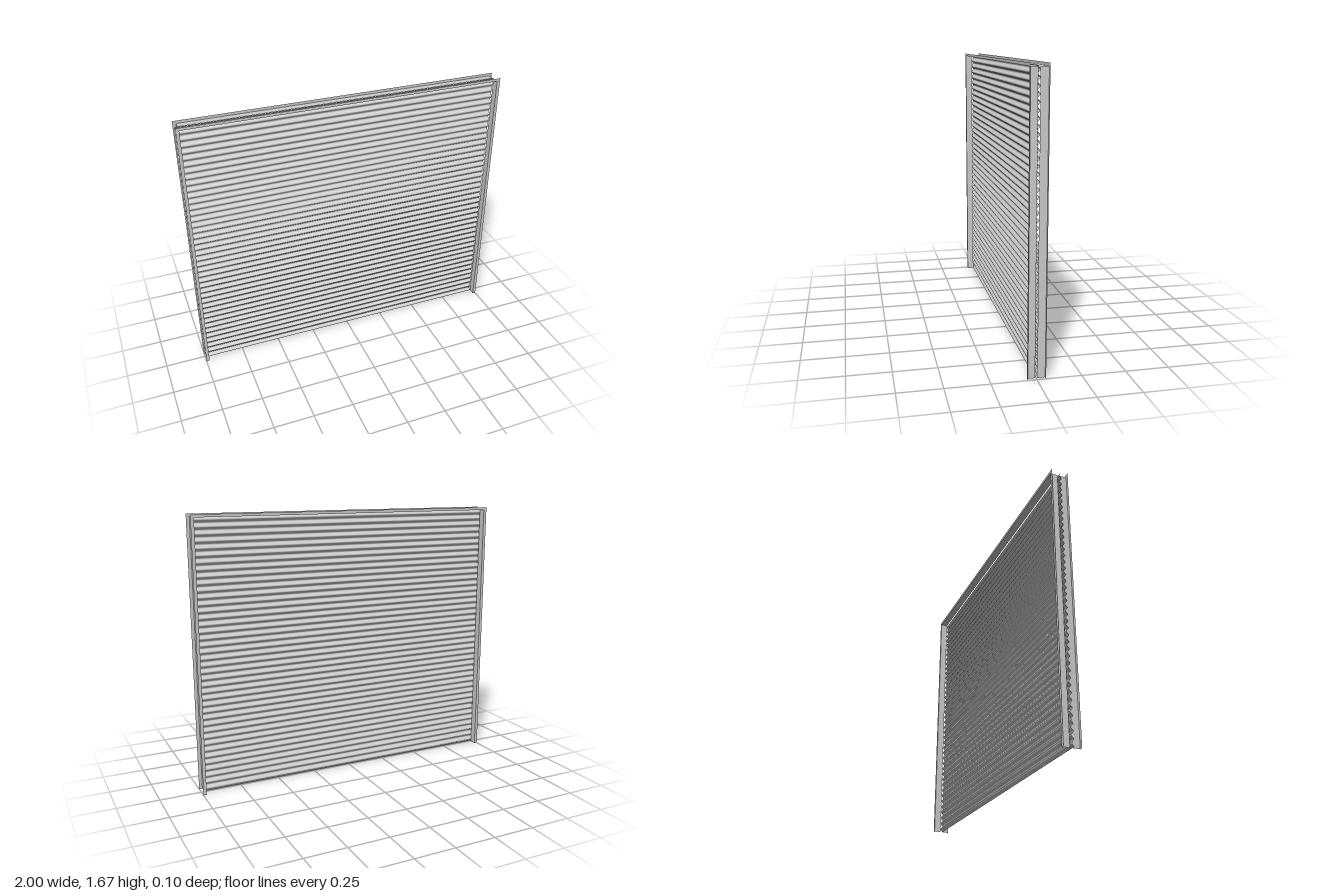
import * as THREE from 'three';

const INNER_X = 0.98, INNER_Y = 1.65; // opening
const OUTER_X = 1, OUTER_Y = 1.667;   // edge of the flanges
const DEPTH = 0.05, GAP = 0.006;      // half depth of frame, half slot for the curtain
const SLATS = 41, CURTAIN_H = 1.655, WAVE = 0.007;

export function createModel() {
  const group = new THREE.Group();
  const material = new THREE.MeshStandardMaterial({ color: 0xcccccc, side: THREE.DoubleSide });

  const add = (name, geometry, parent) => {
    const mesh = new THREE.Mesh(geometry, material);
    mesh.name = name;
    parent.add(mesh);
    return mesh;
  };

  // Corrugated curtain of slats, slightly longer on the right to run in its guide
  const curtain = new THREE.PlaneGeometry(1.98, CURTAIN_H, 1, SLATS * 12);
  curtain.translate(-0.01, CURTAIN_H / 2, 0);
  const pos = curtain.attributes.position;
  for (let i = 0; i < pos.count; i++) {
    pos.setZ(i, WAVE * Math.cos((pos.getY(i) / CURTAIN_H) * SLATS * Math.PI * 2));
  }
  curtain.computeVertexNormals();
  add('slatCurtain', curtain, group);

  // Thin flange around both sides and the top
  const flange = new THREE.Shape([
    [-OUTER_X, 0], [-INNER_X, 0], [-INNER_X, INNER_Y], [INNER_X, INNER_Y],
    [INNER_X, 0], [OUTER_X, 0], [OUTER_X, OUTER_Y], [-OUTER_X, OUTER_Y],
  ].map(([x, y]) => new THREE.Vector2(x, y)));

  // Angle frame before and behind the curtain
  for (const side of [1, -1]) {
    const frame = new THREE.Group();
    frame.name = side > 0 ? 'frontFrame' : 'backFrame';
    group.add(frame);

    add('flange', new THREE.ShapeGeometry(flange), frame).position.z = side * DEPTH;

    const legWidth = DEPTH - GAP, legZ = side * (DEPTH + GAP) / 2;
    for (const x of [INNER_X, -INNER_X]) {
      const leg = new THREE.PlaneGeometry(legWidth, INNER_Y);
      leg.rotateY(Math.sign(x) * Math.PI / 2);
      add(x > 0 ? 'leftGuide' : 'rightGuide', leg, frame).position.set(x, INNER_Y / 2, legZ);
    }

    const header = new THREE.PlaneGeometry(INNER_X * 2, legWidth);
    header.rotateX(-Math.PI / 2);
    add('header', header, frame).position.set(0, INNER_Y, legZ);
  }
  return group;
}
